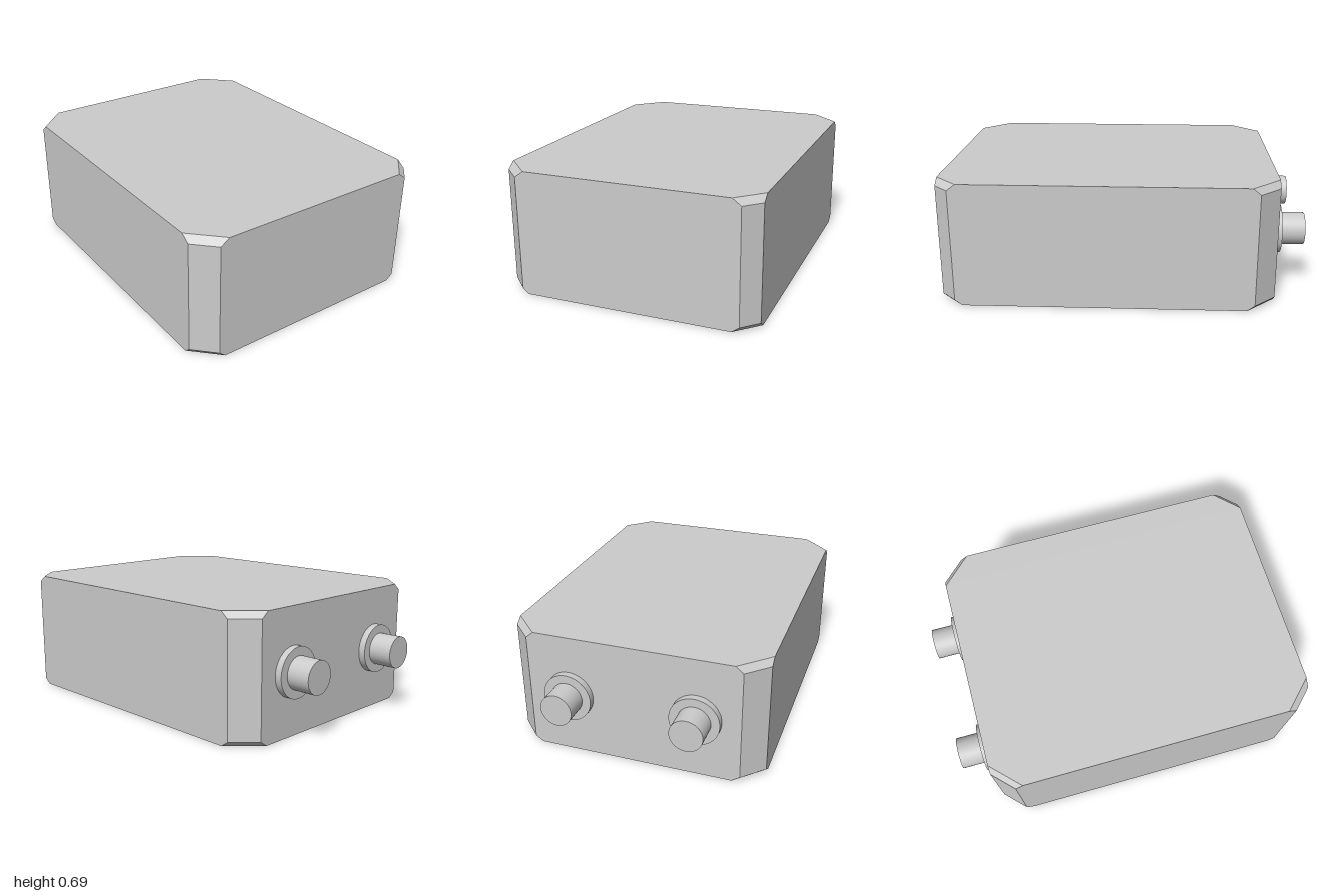
import * as THREE from 'three';

const X = 0.71, BACK = -0.83, FRONT = 1.0;

// Corner cuts per level: [y, front +x, back +x, back -x, front -x]
const LEVELS = [
  [0, 0.125, 0.16, 0.16, 0.145],
  [0.03, 0.085, 0.118, 0.115, 0.11],
  [0.655, 0.085, 0.118, 0.115, 0.11],
  [0.69, 0.132, 0.16, 0.157, 0.16],
];

// Eight-sided outline, running counter-clockwise seen from above
function ring([y, fr, br, bl, fl]) {
  return [
    [X - fr, FRONT], [X, FRONT - fr], [X, BACK + br], [X - br, BACK],
    [-X + bl, BACK], [-X, BACK + bl], [-X, FRONT - fl], [-X + fl, FRONT],
  ].map(([x, z]) => [x, y, z]);
}

// Box with cut upright corners that flare into small bevels at top and bottom
function bodyGeometry() {
  const rings = LEVELS.map(ring);
  const pos = [];
  const tri = (a, b, c) => pos.push(...a, ...b, ...c);
  for (let l = 0; l < rings.length - 1; l++) {
    for (let i = 0; i < 8; i++) {
      const j = (i + 1) % 8;
      const lo = rings[l], hi = rings[l + 1];
      tri(lo[i], lo[j], hi[j]);
      tri(lo[i], hi[j], hi[i]);
    }
  }
  const bottom = rings[0], top = rings[rings.length - 1];
  for (let i = 1; i < 7; i++) {
    tri(top[0], top[i], top[i + 1]);
    tri(bottom[0], bottom[i + 1], bottom[i]);
  }
  const geo = new THREE.BufferGeometry();
  geo.setAttribute('position', new THREE.Float32BufferAttribute(pos, 3));
  geo.computeVertexNormals();
  return geo;
}

// Cylinder lying along z between two depths
function rod(name, radius, z0, z1, material) {
  const geo = new THREE.CylinderGeometry(radius, radius, Math.abs(z1 - z0), 48);
  geo.rotateX(-Math.PI / 2);
  const mesh = new THREE.Mesh(geo, material);
  mesh.position.z = (z0 + z1) / 2;
  mesh.name = name;
  return mesh;
}

export function createModel() {
  const group = new THREE.Group();
  group.name = 'connectorBox';
  const material = new THREE.MeshStandardMaterial({ color: 0xcccccc });

  const body = new THREE.Mesh(bodyGeometry(), material);
  body.name = 'body';
  group.add(body);

  // Two flanged pegs on the back
  for (const side of [1, -1]) {
    const connector = new THREE.Group();
    connector.name = side > 0 ? 'leftConnector' : 'rightConnector';
    connector.add(rod('flange', 0.137, BACK + 0.005, -0.868, material));
    connector.add(rod('peg', 0.09, -0.86, -1.0, material));
    connector.position.set(side * 0.355, 0.348, 0);
    group.add(connector);
  }
  return group;
}
